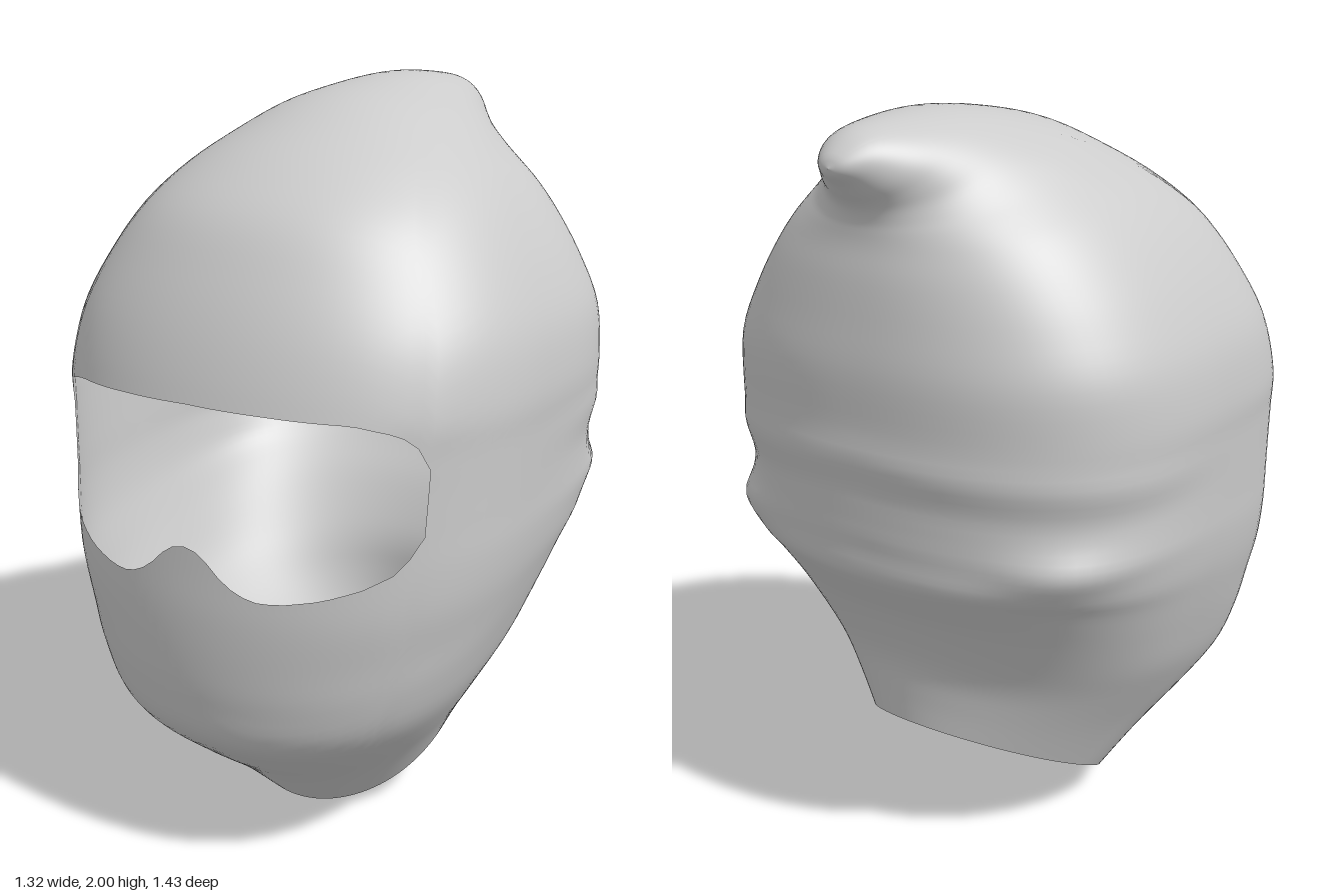
import * as THREE from 'three';

// Tilted rings from neck to tip: front z, front y, back z, back y, half width, squareness
const RINGS = [
  [0.23, 0.0, -0.45, 0.37, 0.31, 2.1],
  [0.38, 0.14, -0.45, 0.45, 0.385, 2.2],
  [0.54, 0.265, -0.455, 0.53, 0.46, 2.3],
  [0.665, 0.38, -0.48, 0.61, 0.52, 2.4],
  [0.70, 0.5, -0.54, 0.73, 0.565, 2.5],
  [0.715, 0.62, -0.61, 0.83, 0.60, 2.5],
  [0.72, 0.75, -0.635, 0.88, 0.625, 2.6],
  [0.715, 0.87, -0.635, 0.95, 0.64, 2.6],
  [0.71, 0.98, -0.64, 1.02, 0.645, 2.6],
  [0.705, 1.08, -0.65, 1.1, 0.65, 2.6],
  [0.70, 1.18, -0.655, 1.18, 0.655, 2.6],
  [0.69, 1.28, -0.655, 1.27, 0.66, 2.6],
  [0.64, 1.43, -0.655, 1.4, 0.64, 2.6],
  [0.57, 1.57, -0.64, 1.52, 0.585, 2.5],
  [0.48, 1.7, -0.625, 1.62, 0.515, 2.4],
  [0.35, 1.8, -0.61, 1.69, 0.445, 2.3],
  [0.2, 1.88, -0.605, 1.73, 0.375, 2.2],
  [0.03, 1.95, -0.605, 1.755, 0.305, 2.1],
  [-0.15, 1.985, -0.612, 1.78, 0.24, 2],
  [-0.33, 2.0, -0.625, 1.80, 0.185, 2],
  [-0.5, 1.99, -0.645, 1.82, 0.135, 2],
  [-0.62, 1.97, -0.67, 1.845, 0.085, 2],
  [-0.69, 1.925, -0.70, 1.87, 0.04, 2],
  [-0.71, 1.89, -0.71, 1.89, 0, 2],
];
const LAST = RINGS.length - 1;

// Lower and upper rim of the eye opening: [x, y]
const LOWER = [[0, 0.93], [0.03, 0.925], [0.06, 0.908], [0.1, 0.87], [0.15, 0.835], [0.2, 0.82],
  [0.26, 0.82], [0.36, 0.838], [0.44, 0.865], [0.5, 0.9], [0.53, 0.945], [0.55, 1.0]];
const UPPER = [[0, 1.285], [0.2, 1.28], [0.4, 1.27], [0.47, 1.25], [0.51, 1.23], [0.53, 1.2], [0.55, 1.14]];

const COLS = 120, HOLE_COLS = 17;
const ROWS_BELOW = 30, ROWS_HOLE = 12, ROWS_ABOVE = 50;

function lookup(table, x) {
  for (let i = 1; i < table.length; i++) {
    const [x0, y0] = table[i - 1], [x1, y1] = table[i];
    if (x <= x1) return THREE.MathUtils.lerp(y0, y1, (x - x0) / (x1 - x0));
  }
  return table[table.length - 1][1];
}

const spline = (pick) => new THREE.CatmullRomCurve3(
  RINGS.map((r) => new THREE.Vector3(...pick(r))), false, 'catmullrom', 0.5);
const frontLine = spline((r) => [r[5], r[1], r[0]]);
const backLine = spline((r) => [r[4], r[3], r[2]]);

const bump = (y, centre, width) => Math.exp(-(((y - centre) / width) ** 2));

// Point on the hood at angle a (0 = front, towards +x) and ring position v
function surface(a, v) {
  const f = frontLine.getPoint(v / LAST), b = backLine.getPoint(v / LAST);
  const c = Math.cos(a), s = Math.sin(a);
  const p = f.x, square = p - 2;
  // Rounded face, squarer corners at the back
  const across = s * (Math.abs(c) ** p + Math.abs(s) ** p) ** (-1 / p);
  const [depthPower, widthPower] = c > 0
    ? [2 + 1.4 * square, 2 + 0.1 * square]
    : [2 + 2.3 * square, 2 + 0.5 * square];
  const k = Math.sign(c) * Math.max(0, 1 - Math.abs(across) ** widthPower) ** (1 / depthPower);
  const point = new THREE.Vector3(
    Math.max(b.x, 0) * across,
    (f.y + b.y) / 2 + ((f.y - b.y) / 2) * k,
    (f.z + b.z) / 2 + ((f.z - b.z) / 2) * k);
  // Soft cloth folds round the back, and a fuller pucker at each rear corner
  const back = THREE.MathUtils.smoothstep(-c, -0.1, 0.6);
  const corner = bump(Math.abs(s), 0.72, 0.16);
  const sag = point.y + 0.04 * Math.abs(s);
  const fold = back * (0.007 * bump(sag, 1.19, 0.04) - 0.006 * bump(sag, 1.1, 0.04)
    + 0.004 * bump(sag, 0.98, 0.04) + 0.035 * corner * bump(point.y, 0.94, 0.06));
  point.x += fold * s;
  point.z += fold * c;
  return point;
}

// Ring position at which a column reaches a given height
function ringAtHeight(a, y) {
  let lo = 3, hi = 15;
  for (let i = 0; i < 24; i++) {
    const mid = (lo + hi) / 2;
    if (surface(a, mid).y < y) lo = mid; else hi = mid;
  }
  return (lo + hi) / 2;
}

function hoodGeometry() {
  const rows = ROWS_BELOW + ROWS_HOLE + ROWS_ABOVE;
  const positions = [], index = [];
  const step = (2 * Math.PI) / COLS;
  for (let j = 0; j < COLS; j++) {
    const a = j * step;
    const fromFront = Math.min(j, COLS - j);
    // Rows follow the rims of the opening, then relax towards the back
    const x = fromFront <= HOLE_COLS ? Math.abs(surface(a, 9).x) : 0.55;
    const relax = THREE.MathUtils.smoothstep(fromFront, HOLE_COLS, HOLE_COLS + 12);
    const low = THREE.MathUtils.lerp(ringAtHeight(a, lookup(LOWER, x)), 7.5, relax);
    const high = THREE.MathUtils.lerp(ringAtHeight(a, lookup(UPPER, x)), 11, relax);
    for (let i = 0; i <= rows; i++) {
      let v;
      if (i <= ROWS_BELOW) v = low * i / ROWS_BELOW;
      else if (i <= ROWS_BELOW + ROWS_HOLE) v = low + (high - low) * (i - ROWS_BELOW) / ROWS_HOLE;
      else v = high + (LAST - high) * (i - ROWS_BELOW - ROWS_HOLE) / ROWS_ABOVE;
      positions.push(...surface(a, Math.min(v, LAST)).toArray());
    }
  }
  for (let j = 0; j < COLS; j++) {
    const inFront = j < HOLE_COLS || j >= COLS - HOLE_COLS;
    for (let i = 0; i < rows; i++) {
      if (inFront && i >= ROWS_BELOW && i < ROWS_BELOW + ROWS_HOLE) continue; // eye opening
      const p = j * (rows + 1) + i, q = ((j + 1) % COLS) * (rows + 1) + i;
      index.push(p, q, q + 1);
      if (i < rows - 1) index.push(p, q + 1, p + 1);
    }
  }
  const geometry = new THREE.BufferGeometry();
  geometry.setAttribute('position', new THREE.Float32BufferAttribute(positions, 3));
  geometry.setIndex(index);
  geometry.computeVertexNormals();
  return geometry;
}

export function createModel() {
  const group = new THREE.Group();
  group.name = 'hoodMask';
  // Thin cloth hood, open at the eyes and the neck
  const hood = new THREE.Mesh(hoodGeometry(),
    new THREE.MeshStandardMaterial({ color: 0xcccccc, side: THREE.DoubleSide }));
  hood.name = 'hood';
  group.add(hood);
  return group;
}
